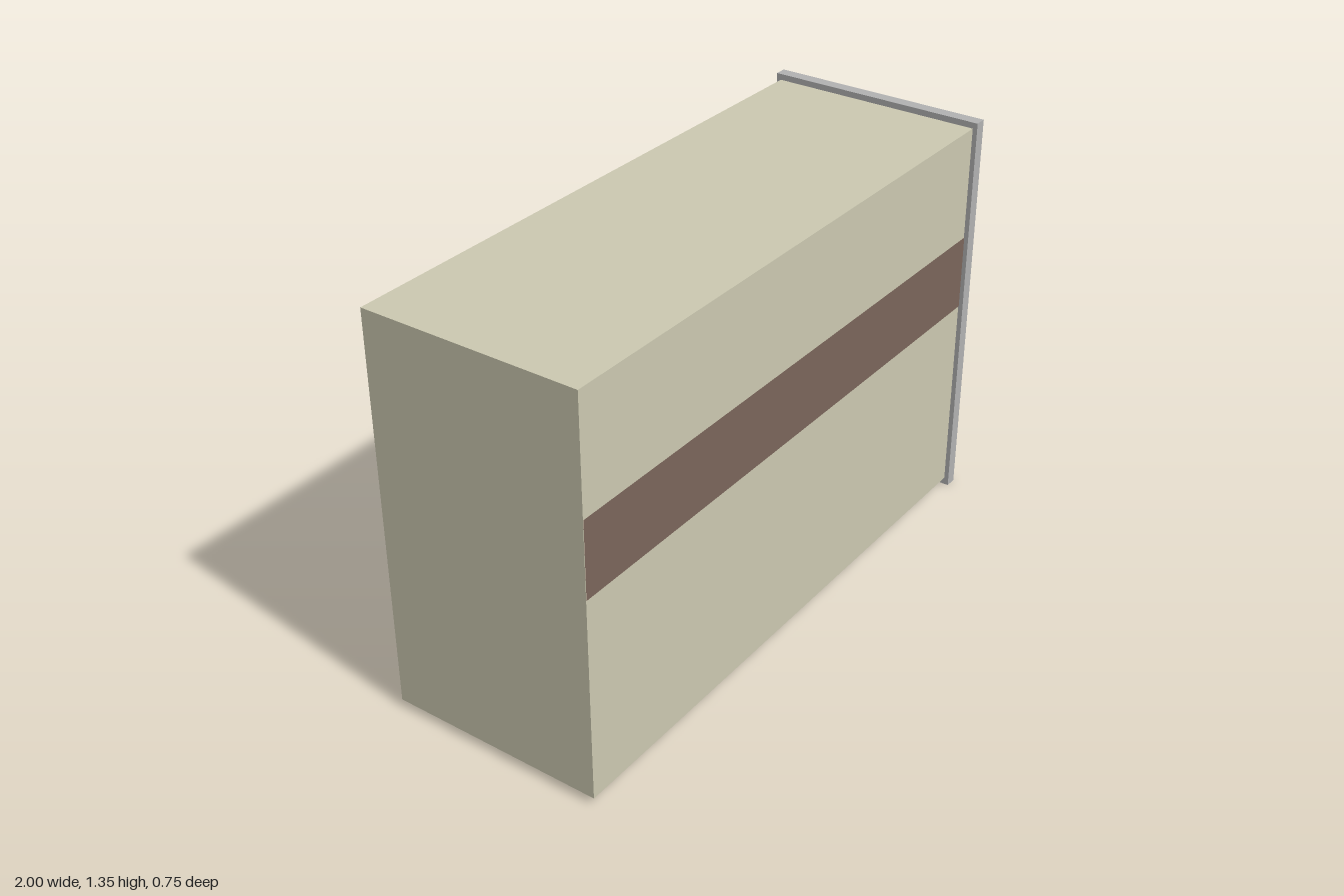
import * as THREE from 'three';

const material = (color, side = THREE.FrontSide) =>
  new THREE.MeshStandardMaterial({ color, side, flatShading: true });

// Box from x0 to x1 that is open at its +x end
function openBox(x0, x1, y0, y1, depth) {
  const g = new THREE.BoxGeometry(x1 - x0, y1 - y0, depth);
  g.setIndex(Array.from(g.index.array).slice(6)); // the first six indices are the +x face
  g.translate((x0 + x1) / 2, (y0 + y1) / 2, 0);
  return g;
}

function rectangle(Type, halfWidth, y0, y1) {
  return new Type([
    new THREE.Vector2(-halfWidth, y0), new THREE.Vector2(halfWidth, y0),
    new THREE.Vector2(halfWidth, y1), new THREE.Vector2(-halfWidth, y1),
  ]);
}

// Rectangular surround with an opening, extruded along x from x0 to x1
function surround(outer, inner, x0, x1) {
  const shape = rectangle(THREE.Shape, ...outer);
  shape.holes.push(rectangle(THREE.Path, ...inner));
  const g = new THREE.ExtrudeGeometry(shape, { depth: x1 - x0, bevelEnabled: false });
  return g.rotateY(Math.PI / 2).translate(x0, 0, 0);
}

export function createModel() {
  const group = new THREE.Group();
  const add = (name, geometry, mat) => {
    const mesh = new THREE.Mesh(geometry, mat);
    mesh.name = name;
    group.add(mesh);
    return mesh;
  };

  const beige = material(0xccc9b1);
  const brown = material(0x7b655b);
  const grey = material(0xb2b2b2);
  const black = material(0x0d0d0d, THREE.BackSide);

  // Outer shell and dark hollow interior
  add('body', openBox(-1, 0.96, 0.025, 1.325, 0.715), beige);
  add('interior', openBox(-0.98, 0.95, 0.042, 1.17, 0.626), black);

  // Stripe along both long sides
  for (const side of [1, -1]) {
    const stripe = add(side > 0 ? 'frontStripe' : 'backStripe',
      new THREE.PlaneGeometry(1.96, 0.25), brown);
    stripe.position.set(-0.02, 0.825, side * 0.359);
    if (side < 0) stripe.rotation.y = Math.PI;
  }

  // Door frame with a narrow inner lip
  const opening = [0.323, 0.02, 1.185];
  add('doorFrame', surround([0.373, 0, 1.345], opening, 0.96, 1), grey);
  add('innerLip', surround([0.35, 0.03, 1.2], [0.313, 0.042, 1.17], 0.95, 0.96), grey);
  // Sill closing the gap under the lip
  const sill = add('sill', new THREE.BoxGeometry(0.01, 0.01, 0.646), grey);
  sill.position.set(0.955, 0.025, 0);

  return group;
}
